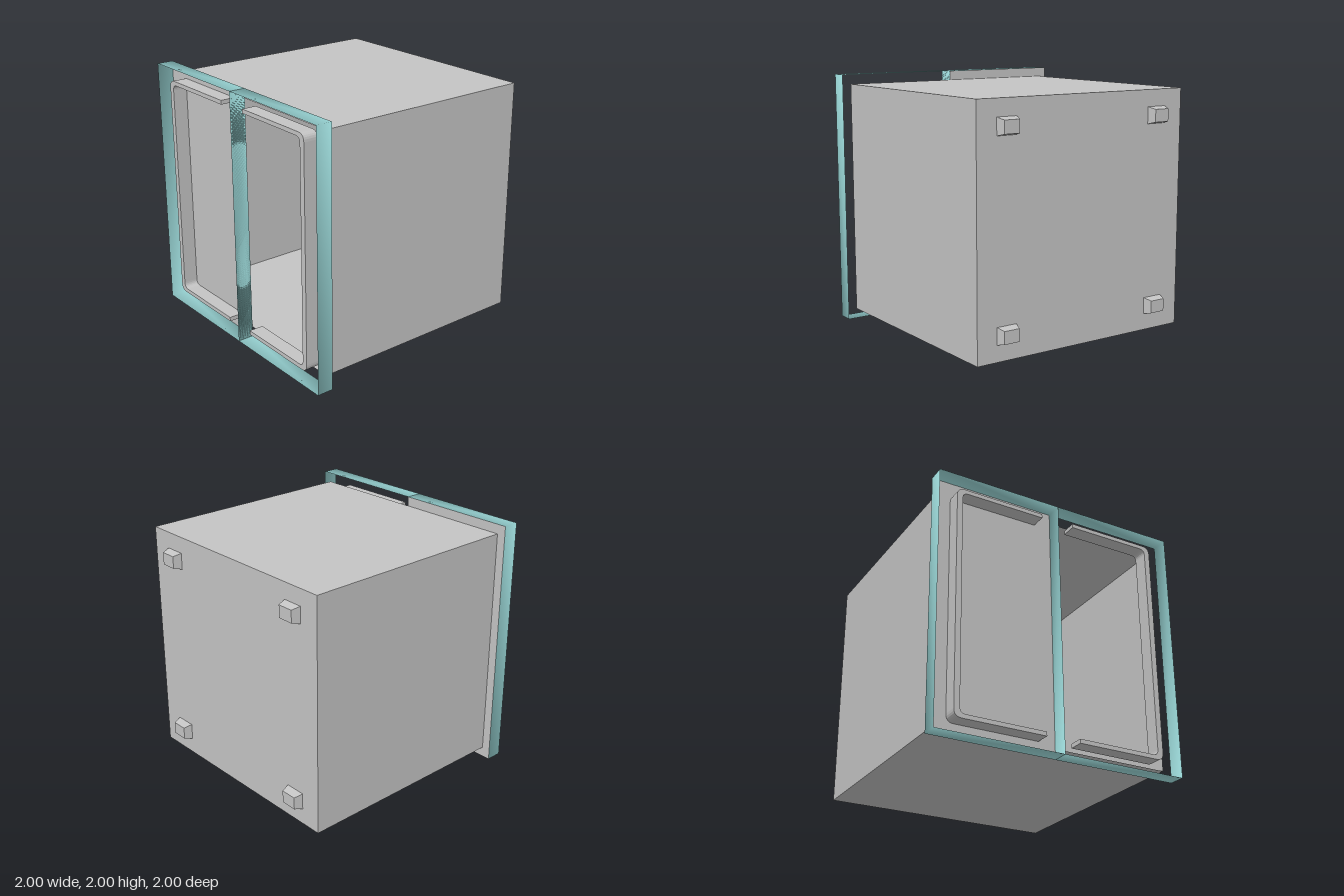
import * as THREE from 'three';

const grey = new THREE.MeshStandardMaterial({ color: 0xc4c4c4, side: THREE.DoubleSide });
grey.name = 'light grey';
const teal = new THREE.MeshStandardMaterial({ color: 0x98d4d4, side: THREE.DoubleSide });
teal.name = 'pale teal';

// Open four-sided sleeve from rectangle a at zBack to rectangle b at zFront; rectangles are [x0, x1, y0, y1]
function sleeve(a, zBack, b, zFront, smooth) {
  const corners = ([x0, x1, y0, y1], z) => [x0, y0, z, x1, y0, z, x1, y1, z, x0, y1, z];
  const index = [];
  for (let i = 0; i < 4; i++) {
    const j = (i + 1) % 4;
    index.push(i, j, j + 4, i, j + 4, i + 4);
  }
  let geo = new THREE.BufferGeometry();
  geo.setAttribute('position', new THREE.Float32BufferAttribute([...corners(a, zBack), ...corners(b, zFront)], 3));
  geo.setIndex(index);
  if (!smooth) geo = geo.toNonIndexed();
  geo.computeVertexNormals();
  return geo;
}

function rectPath(path, [x0, x1, y0, y1]) {
  path.moveTo(x0, y0);
  path.lineTo(x1, y0);
  path.lineTo(x1, y1);
  path.lineTo(x0, y1);
  path.closePath();
  return path;
}

// C-shaped pull handle, opening toward the centre line; side is +1 or -1
function handleGeometry(side, zBack, depth) {
  const end = 0.135, xo = 0.85, xi = 0.805, yo0 = 0.11, yo1 = 1.9, yi0 = 0.143, yi1 = 1.868;
  const ro = 0.06, ri = 0.045;
  const s = new THREE.Shape();
  const X = (x) => x * side;
  s.moveTo(X(end), yo0);
  s.lineTo(X(xo - ro), yo0);
  s.quadraticCurveTo(X(xo), yo0, X(xo), yo0 + ro);
  s.lineTo(X(xo), yo1 - ro);
  s.quadraticCurveTo(X(xo), yo1, X(xo - ro), yo1);
  s.lineTo(X(end), yo1);
  s.lineTo(X(end), yi1);
  s.lineTo(X(xi - ri), yi1);
  s.quadraticCurveTo(X(xi), yi1, X(xi), yi1 - ri);
  s.lineTo(X(xi), yi0 + ri);
  s.quadraticCurveTo(X(xi), yi0, X(xi - ri), yi0);
  s.lineTo(X(end), yi0);
  s.closePath();
  const geo = new THREE.ExtrudeGeometry(s, { depth, bevelEnabled: false, curveSegments: 6 });
  return geo.translate(0, 0, zBack);
}

export function createModel() {
  const model = new THREE.Group();
  model.name = 'cabinet';
  const add = (name, geo, mat) => {
    const mesh = new THREE.Mesh(geo, mat);
    mesh.name = name;
    model.add(mesh);
  };

  const zBack = -0.935, zDoor = 0.87;
  const body = [-0.93, 0.93, 0.08, 1.925];

  // Thin-walled body, open at the front
  add('bodyWalls', sleeve(body, zBack, body, zDoor, false), grey);

  // Back wall with four hollow tapered feet pressed out of it
  const back = rectPath(new THREE.Shape(), body);
  for (const sx of [-1, 1]) {
    for (const y of [0.27, 1.733]) {
      const cx = 0.682 * sx;
      const base = [cx - 0.082, cx + 0.082, y - 0.064, y + 0.064];
      const tip = [cx - 0.064, cx + 0.064, y - 0.048, y + 0.048];
      back.holes.push(rectPath(new THREE.Path(), base));
      add('footSides', sleeve(tip, -1, base, zBack, false), grey);
      const cap = new THREE.PlaneGeometry(0.128, 0.096).rotateY(Math.PI);
      add('footCap', cap.translate(cx, y, -1), grey);
    }
  }
  add('backWall', new THREE.ShapeGeometry(back).translate(0, 0, zBack), grey);

  // Two door frames with handles; only the door on the -x side has a panel
  for (const side of [-1, 1]) {
    const frame = side < 0 ? [-1, 0, 0, 2] : [0, 1, 0, 2];
    add('doorFrame', sleeve(frame, zDoor, frame, 1, true), teal);
    add('doorHandle', handleGeometry(side, zDoor, 0.115), grey);
  }
  add('doorPanel', new THREE.PlaneGeometry(1, 2).translate(-0.5, 1, zDoor), grey);

  return model;
}
